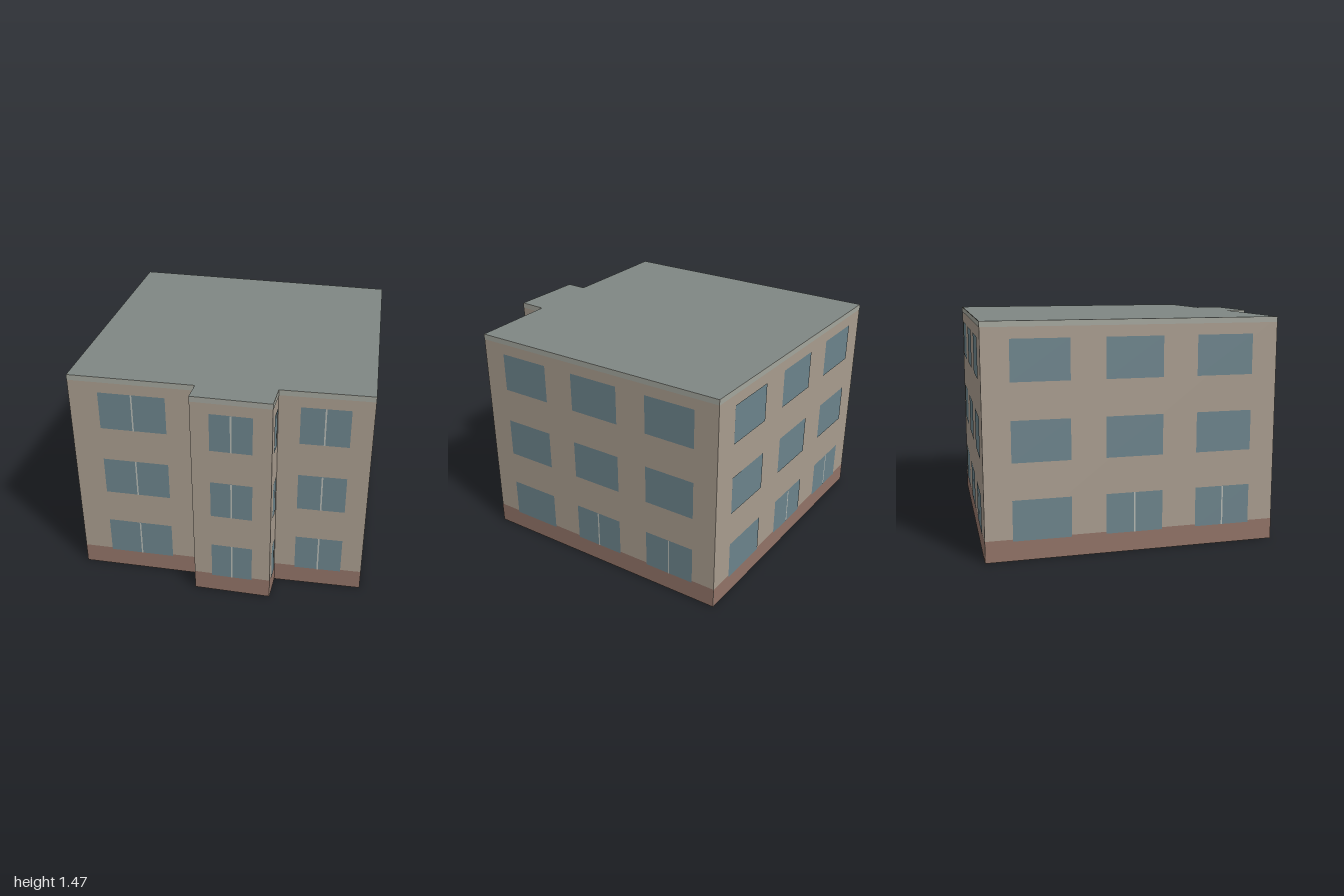
import * as THREE from 'three';

const HEIGHT = 1.465;
const PLINTH_TOP = 0.137;
const BAND_BOTTOM = 1.43;
const ROWS = [[0.125, 0.382], [0.613, 0.872], [1.103, 1.36]]; // window sill and head heights

// Floor plan corners [x, z], so that each wall runs left to right seen from outside
const PLAN = [
  [-0.92, 0.885], [-0.105, 0.855], [-0.105, 0.995], [0.4, 0.985],
  [0.4, 0.803], [0.98, 0.77], [0.89, -1], [-0.985, -0.997],
];

// Windows as fractions of the wall length
const SINGLE = [[0.235, 0.765]];
const TRIPLE = [[0.091, 0.286], [0.403, 0.598], [0.716, 0.911]];

const paint = (color, side = THREE.FrontSide) =>
  new THREE.MeshStandardMaterial({ color, side });

export function createModel() {
  const model = new THREE.Group();
  model.name = 'apartmentBlock';

  const wallMat = paint(0xa89c8e, THREE.DoubleSide);
  const roofMat = paint(0x7f8783, THREE.DoubleSide);
  const plinthMat = paint(0x917367);
  const bandMat = paint(0xa3a59c);
  const glassMat = paint(0x6c838b);
  const mullionMat = paint(0xb4b8b2);

  // Upright rectangle in a wall's own plane, at a small depth in front of it
  function panel(parent, name, x0, x1, y0, y1, depth, material) {
    const mesh = new THREE.Mesh(new THREE.PlaneGeometry(x1 - x0, y1 - y0), material);
    mesh.position.set((x0 + x1) / 2, (y0 + y1) / 2, depth);
    mesh.name = name;
    parent.add(mesh);
  }

  PLAN.forEach(([ax, az], i) => {
    const [bx, bz] = PLAN[(i + 1) % PLAN.length];
    const length = Math.hypot(bx - ax, bz - az);
    const facade = new THREE.Group();
    facade.name = 'facade' + (i + 1);
    facade.position.set(ax, 0, az);
    facade.rotation.y = Math.atan2(az - bz, bx - ax);
    model.add(facade);

    // Wall with brown plinth and pale roof-edge band
    panel(facade, 'wall', 0, length, 0, HEIGHT, 0, wallMat);
    panel(facade, 'plinth', 0, length, 0, PLINTH_TOP, 0.002, plinthMat);
    panel(facade, 'roofBand', 0, length, BAND_BOTTOM, HEIGHT, 0.002, bandMat);

    // Windows: long walls carry three columns, the front and bay walls one
    const isLong = length > 1.2;
    (isLong ? TRIPLE : SINGLE).forEach(([u0, u1], column) => {
      ROWS.forEach(([y0, y1], row) => {
        panel(facade, 'window', u0 * length, u1 * length, y0, y1, 0.004, glassMat);
        // On long walls only two ground-floor windows are divided
        if (isLong && (row > 0 || column === 0)) return;
        const mid = ((u0 + u1) / 2) * length;
        const half = Math.min(0.005, length * 0.02);
        panel(facade, 'mullion', mid - half, mid + half, y0, y1, 0.006, mullionMat);
      });
    });
  });

  // Flat roof over the whole plan
  const outline = new THREE.Shape(PLAN.map(([x, z]) => new THREE.Vector2(x, -z)));
  const roof = new THREE.Mesh(new THREE.ShapeGeometry(outline), roofMat);
  roof.rotation.x = -Math.PI / 2;
  roof.position.y = HEIGHT;
  roof.name = 'roof';
  model.add(roof);

  return model;
}
